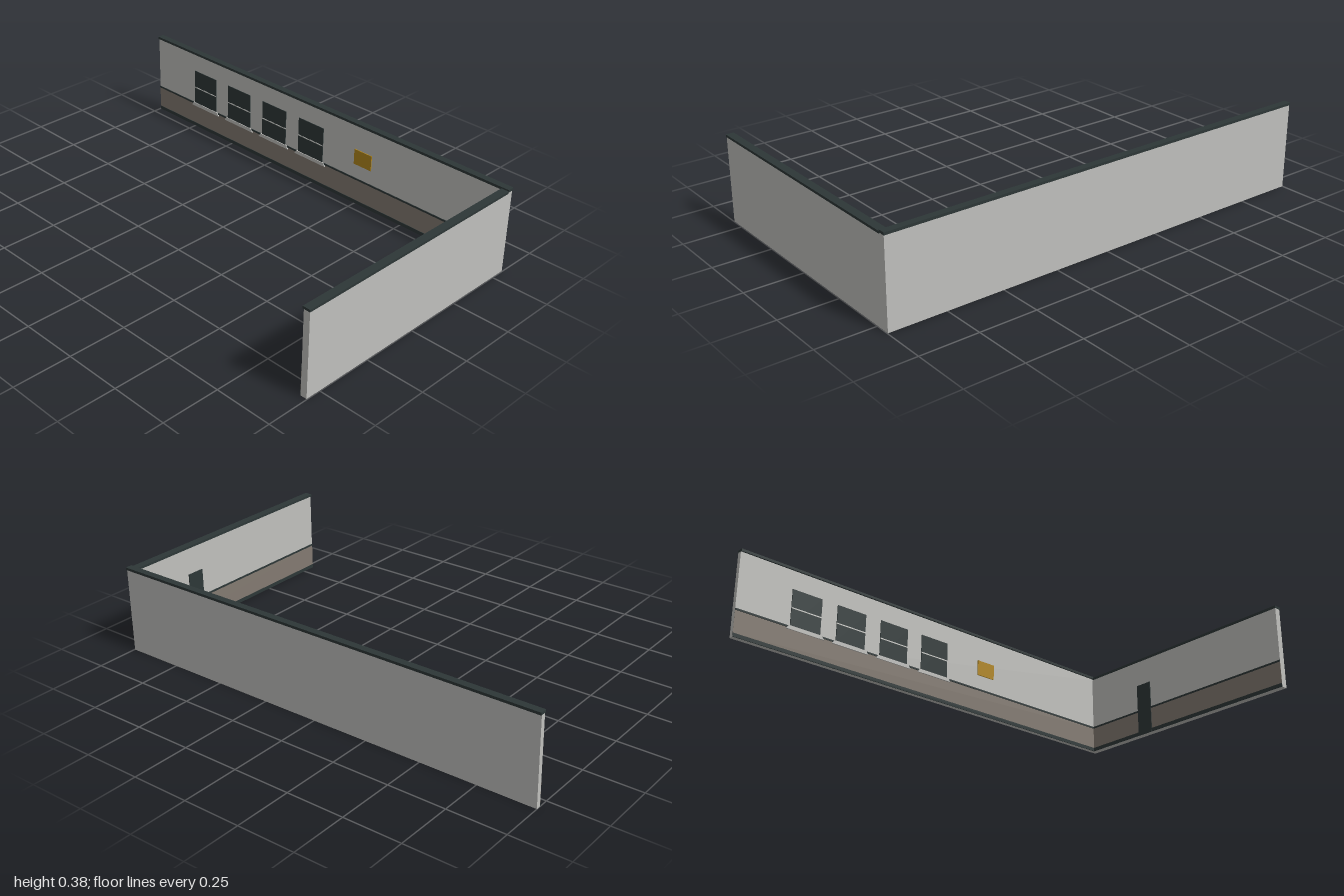
import * as THREE from 'three';

const mat = (name, color, side = THREE.FrontSide) => {
  const m = new THREE.MeshStandardMaterial({ color, side });
  m.name = name;
  return m;
};

export function createModel() {
  const model = new THREE.Group();
  model.name = 'cornerWalls';
  const plaster = mat('greyPlaster', 0xc0c0bd);
  const wainscotPaint = mat('brownPaint', 0x837a71);
  const dark = mat('darkTrim', 0x2d3737);
  const ochre = mat('ochre', 0xb0861d);
  const pale = mat('paleFrame', 0xcfcfcb);

  // Box given by its minimum and maximum corners
  const box = (parent, name, material, [x0, y0, z0], [x1, y1, z1]) => {
    const mesh = new THREE.Mesh(new THREE.BoxGeometry(x1 - x0, y1 - y0, z1 - z0), material);
    mesh.position.set((x0 + x1) / 2, (y0 + y1) / 2, (z0 + z1) / 2);
    mesh.name = name;
    parent.add(mesh);
    return mesh;
  };

  const backZ = -0.543; // room face of the long wall
  const sideX = 0.97;   // room face of the short wall

  // Walls and their copings
  box(model, 'backWall', plaster, [-1, 0, -0.563], [0.998, 0.37, backZ]);
  box(model, 'sideWall', plaster, [sideX, 0, backZ], [0.998, 0.365, 0.565]);
  box(model, 'backCoping', dark, [-1, 0.37, -0.567], [1, 0.381, -0.537]);
  box(model, 'sideCoping', dark, [0.966, 0.365, -0.537], [1, 0.375, 0.567]);

  // Painted lower band, skirting and rail on both room faces
  const bands = [
    ['wainscot', wainscotPaint, 0.016, 0.114, 0.001],
    ['skirting', dark, 0, 0.016, 0.003],
    ['rail', dark, 0.114, 0.122, 0.003],
  ];
  for (const [name, material, y0, y1, d] of bands) {
    box(model, name + 'Back', material, [-1, y0, backZ], [sideX, y1, backZ + d]);
    box(model, name + 'Side', material, [sideX - d, y0, backZ + d], [sideX, y1, 0.565]);
  }

  // Four windows, each with a glazing bar and a flared sill
  const sillShape = new THREE.Shape([
    new THREE.Vector2(-0.09, 0.107), new THREE.Vector2(0.09, 0.107),
    new THREE.Vector2(0.079, 0.123), new THREE.Vector2(-0.079, 0.123),
  ]);
  const sillGeometry = new THREE.ExtrudeGeometry(sillShape, { depth: 0.006, bevelEnabled: false });
  for (const x of [-0.679, -0.458, -0.236, -0.015]) {
    const win = new THREE.Group();
    win.name = 'window';
    win.position.set(x, 0, backZ);
    box(win, 'pane', dark, [-0.072, 0.121, 0], [0.072, 0.286, 0.003]);
    box(win, 'glazingBar', pale, [-0.072, 0.2, 0], [0.072, 0.205, 0.004]);
    const sill = new THREE.Mesh(sillGeometry, plaster);
    sill.name = 'sill';
    win.add(sill);
    model.add(win);
  }

  // Wall board
  box(model, 'wallBoard', ochre, [0.235, 0.188, backZ], [0.328, 0.258, backZ + 0.004]);

  // Dark door on the short wall
  box(model, 'door', dark, [sideX - 0.004, 0, -0.25], [sideX, 0.245, -0.17]);

  return model;
}
